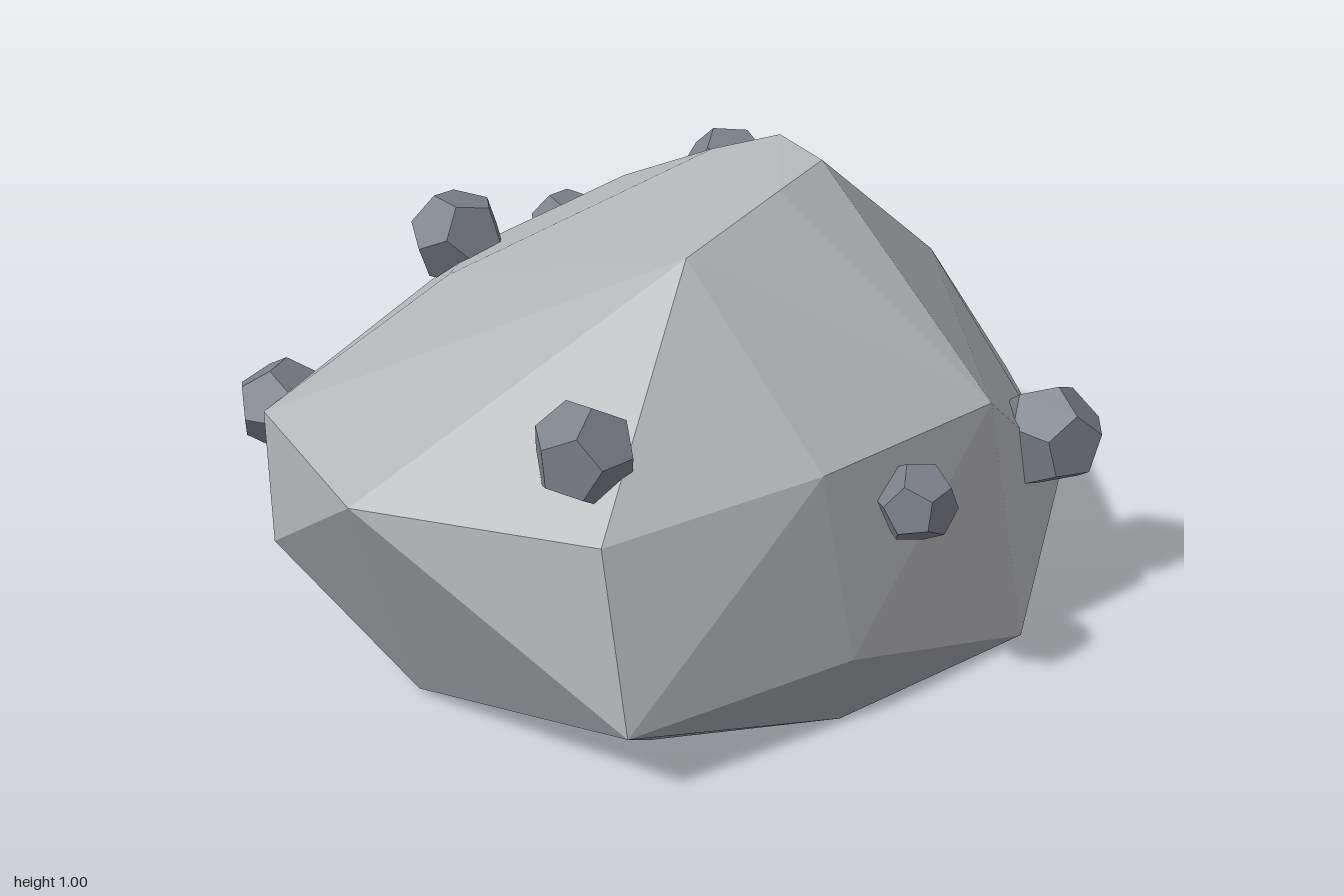
import * as THREE from 'three';
import { ConvexGeometry } from 'three/addons/geometries/ConvexGeometry.js';

function material(name, color) {
  const m = new THREE.MeshStandardMaterial({ color, flatShading: true });
  m.name = name;
  return m;
}

export function createModel() {
  const group = new THREE.Group();
  const rock = material('rock light grey', 0xb4b5b7);
  const underside = material('underside grey', 0x94969b);
  const pebble = material('pebble slate', 0x7c8088);

  // Boulder: faceted hull through rings of corners
  const base = [
    [0.14, 0, 0.85], [0.53, 0, 0.55], [0.9, 0, -0.15], [0.13, 0.02, -0.745],
    [-0.34, 0.02, -0.64], [-0.55, 0.02, -0.45], [-0.9, 0.02, 0.03], [-0.7, 0.015, 0.51], [-0.37, 0, 0.74],
  ];
  const skirt = [
    [0.6, 0.16, 0.65], [0.96, 0.16, 0.25], [1, 0.15, -0.23], [0.69, 0.14, -0.72], [0.2, 0.13, -0.84],
    [-0.45, 0.13, -0.78], [-0.85, 0.14, -0.51], [-0.86, 0.15, 0.6], [-0.36, 0.15, 0.76],
  ];
  const shoulder = [
    [0.03, 0.605, 0.8], [0.64, 0.59, 0.21], [0.64, 0.56, -0.24], [0.35, 0.67, -0.55], [0.1, 0.47, -0.85],
    [-0.3, 0.62, -0.5], [-0.85, 0.475, -0.5], [-1, 0.48, -0.03], [-0.82, 0.52, 0.5], [-0.4, 0.575, 0.7],
  ];
  const crown = [
    [-0.39, 0.93, 0.33], [-0.1, 0.99, 0.33], [0.08, 1, 0.3], [0.23, 0.96, 0.06], [0.18, 0.9, -0.1],
  ];
  const corners = [...base, ...skirt, ...shoulder, ...crown].map(p => new THREE.Vector3(...p));
  const hull = new ConvexGeometry(corners);

  // Facets that lean downward take the underside colour
  const normals = hull.getAttribute('normal');
  for (let i = 0; i < normals.count; i += 3) hull.addGroup(i, 3, normals.getY(i) < 0 ? 1 : 0);
  const boulder = new THREE.Mesh(hull, [rock, underside]);
  boulder.name = 'boulder';
  group.add(boulder);

  // Twelve-sided pebbles half sunk in the surface: x, y, z, radius
  const pebbles = [
    [-0.68, 0.37, -0.67, 0.108], [-0.08, 0.59, -0.71, 0.122], [0.3, 0.5, -0.71, 0.1], [0.49, 0.25, -0.79, 0.095],
    [0.43, 0.72, -0.27, 0.122], [-0.74, 0.65, 0.38, 0.108], [-0.21, 0.47, 0.79, 0.087], [0.34, 0.39, 0.76, 0.122],
  ];
  pebbles.forEach(([x, y, z, r], i) => {
    const mesh = new THREE.Mesh(new THREE.DodecahedronGeometry(r), pebble);
    mesh.name = `pebble${i + 1}`;
    mesh.position.set(x, y, z);
    mesh.rotation.set(i * 1.3, i * 2.1 + 0.4, i * 0.7);
    group.add(mesh);
  });
  return group;
}
